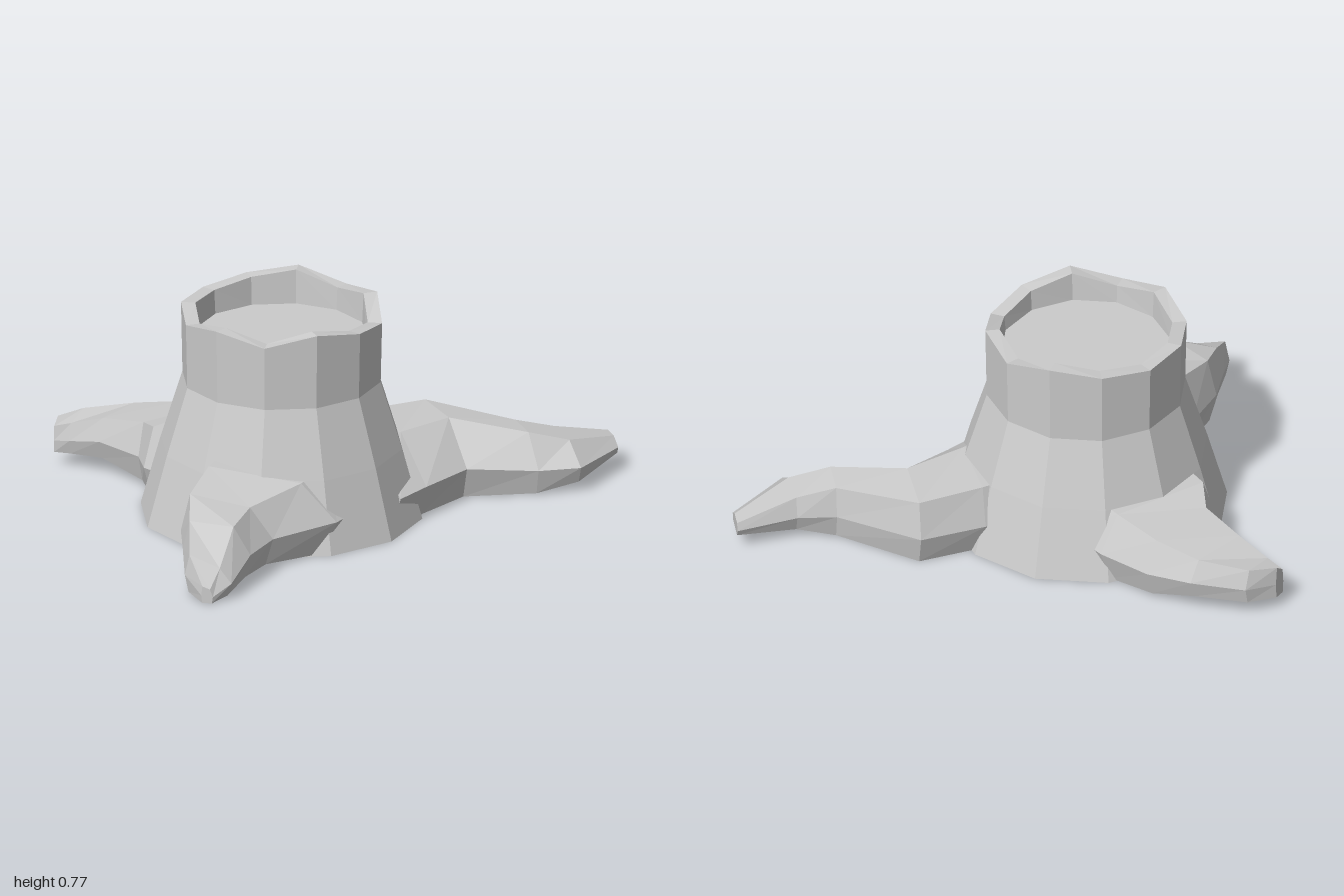
import * as THREE from 'three';

const material = new THREE.MeshStandardMaterial({ color: 0xcccccc, flatShading: true });

// Skins a series of equal-sized rings of points and closes both ends.
function skin(name, rings) {
  const n = rings[0].length;
  const positions = rings.flat(2);
  const index = [];
  for (let i = 0; i < rings.length - 1; i++) {
    for (let j = 0; j < n; j++) {
      const a = i * n + j, b = i * n + (j + 1) % n;
      index.push(a, a + n, b + n, a, b + n, b);
    }
  }
  const last = (rings.length - 1) * n;
  for (let j = 1; j < n - 1; j++) {
    index.push(0, j, j + 1);
    index.push(last, last + j + 1, last + j);
  }
  const geometry = new THREE.BufferGeometry();
  geometry.setAttribute('position', new THREE.Float32BufferAttribute(positions, 3));
  geometry.setIndex(index);
  const flat = geometry.toNonIndexed();
  flat.computeVertexNormals();
  const mesh = new THREE.Mesh(flat, material);
  mesh.name = name;
  return mesh;
}

// Twelve-sided flared trunk with a jagged rim and a sunken cut face.
function createTrunk() {
  const jagged = [0.73, 0.755, 0.705, 0.725, 0.755, 0.715, 0.75, 0.72, 0.74, 0.735, 0.75, 0.772];
  const ring = (radius, height) => jagged.map((top, j) => {
    const angle = (j / jagged.length) * Math.PI * 2;
    return [-0.11 + radius * Math.cos(angle), height ?? top, 0.11 + radius * Math.sin(angle)];
  });
  return skin('trunk', [
    ring(0.49, 0), ring(0.42, 0.25), ring(0.345, 0.49), ring(0.35), ring(0.3), ring(0.295, 0.65),
  ]);
}

// Root from sections [right x, z, left x, z, right top, left top, bottom],
// sides taken looking outward; the insets narrow the top on each side.
function createRoot(name, insetRight, insetLeft, sections) {
  const rings = sections.map(([rx, rz, lx, lz, topR, topL, bottom]) => {
    const at = (t, y) => [rx + (lx - rx) * t, y, rz + (lz - rz) * t];
    const middle = (top) => bottom + (top - bottom) * 0.45;
    return [
      at(0.08, bottom), at(0, middle(topR)), at(insetRight, topR),
      at(1 - insetLeft, topL), at(1, middle(topL)), at(0.92, bottom),
    ];
  });
  return skin(name, rings);
}

export function createModel() {
  const group = new THREE.Group();
  group.name = 'treeStump';
  group.add(createTrunk());

  group.add(createRoot('rightRoot', 0.1, 0.25, [
    [-0.40, 0.05, -0.11, 0.50, 0.30, 0.25, 0],
    [-0.59, 0.12, -0.32, 0.53, 0.30, 0.25, 0],
    [-0.76, 0.20, -0.59, 0.47, 0.265, 0.225, 0.02],
    [-0.87, 0.30, -0.76, 0.51, 0.22, 0.21, 0.03],
    [-0.98, 0.40, -0.91, 0.55, 0.15, 0.11, 0.015],
    [-1.00, 0.49, -0.98, 0.525, 0.06, 0.05, 0],
  ]));

  group.add(createRoot('leftRoot', 0.4, 0.08, [
    [0.00, 0.55, 0.15, 0.05, 0.25, 0.25, 0],
    [0.15, 0.54, 0.35, 0.09, 0.25, 0.25, 0],
    [0.38, 0.53, 0.57, 0.17, 0.245, 0.24, 0],
    [0.56, 0.70, 0.69, 0.48, 0.20, 0.20, 0.005],
    [0.68, 0.79, 0.80, 0.56, 0.16, 0.165, 0.035],
    [0.94, 0.74, 1.00, 0.64, 0.11, 0.11, 0.06],
  ]));

  group.add(createRoot('backRoot', 0.15, 0.1, [
    [0.15, -0.10, -0.35, -0.10, 0.25, 0.25, 0],
    [0.15, -0.29, -0.32, -0.33, 0.25, 0.25, 0],
    [0.10, -0.48, -0.24, -0.42, 0.22, 0.225, 0.015],
    [0.03, -0.63, -0.235, -0.60, 0.195, 0.20, 0.055],
    [-0.10, -0.77, -0.25, -0.72, 0.175, 0.16, 0.05],
    [-0.21, -0.80, -0.255, -0.785, 0.165, 0.14, 0.045],
  ]));
  return group;
}
